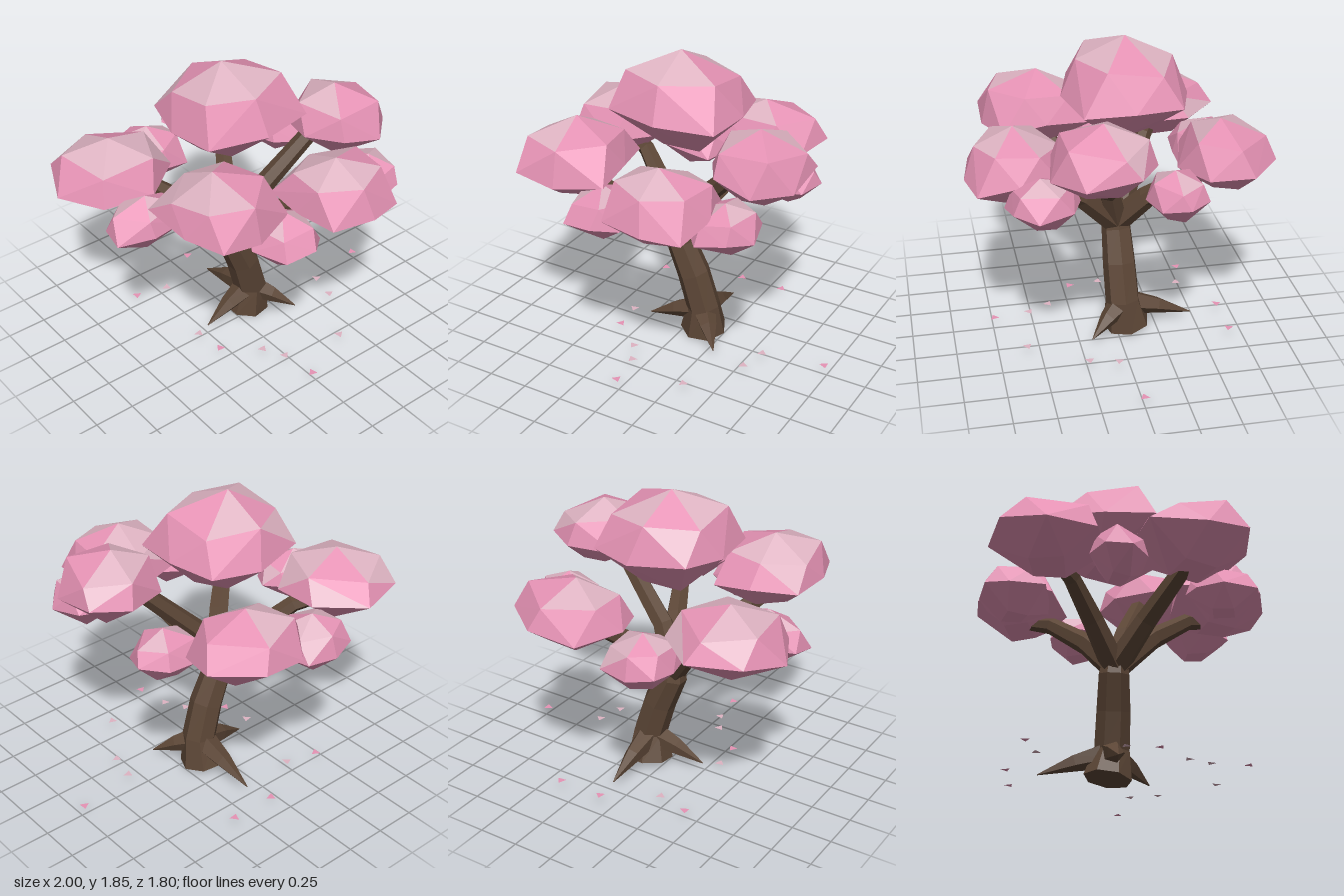
import * as THREE from 'three';
import { ConvexGeometry } from 'three/addons/geometries/ConvexGeometry.js';

const V = (a) => new THREE.Vector3(...a);

// small seeded random generator, -1..1
const seeded = (s) => () => {
  s = (s * 16807) % 2147483647;
  return (s / 2147483647) * 2 - 1;
};

// Faceted limb: rings of given radii square to a path, closed at both ends
function limb(points, radii, sides) {
  const pts = points.map(V), n = pts.length, rings = [];
  let side = null;
  for (let i = 0; i < n; i++) {
    const t = pts[Math.min(i + 1, n - 1)].clone().sub(pts[Math.max(i - 1, 0)]).normalize();
    if (!side) side = Math.abs(t.x) < 0.7 ? V([1, 0, 0]) : V([0, 0, 1]);
    side = side.clone().addScaledVector(t, -side.dot(t)).normalize();
    const up = t.clone().cross(side);
    rings.push([...Array(sides).keys()].map((k) => {
      const a = (k / sides) * Math.PI * 2;
      return pts[i].clone().addScaledVector(side, Math.cos(a) * radii[i]).addScaledVector(up, Math.sin(a) * radii[i]);
    }));
  }
  const tri = [];
  for (let k = 0; k < sides; k++) {
    const m = (k + 1) % sides;
    for (let i = 0; i < n - 1; i++) {
      const a = rings[i][k], b = rings[i][m], c = rings[i + 1][m], d = rings[i + 1][k];
      tri.push(a, b, c, a, c, d);
    }
    tri.push(pts[0], rings[0][m], rings[0][k], pts[n - 1], rings[n - 1][k], rings[n - 1][m]);
  }
  const g = new THREE.BufferGeometry().setFromPoints(tri);
  g.computeVertexNormals();
  return g;
}

// Leaf clump: hull of an apex, a shoulder ring, a wide low rim and a shallow underside.
// Eight-cornered clumps are boxy. Upper facets are mostly pale (group 1).
function clump(min, max, corners, phase, seed) {
  const rnd = seeded(seed * 7919 + 13);
  const pts = [new THREE.Vector3(rnd() * 0.1, 1, rnd() * 0.1)];
  const ring = (n, r, y, shift, wobble) => {
    for (let k = 0; k < n; k++) {
      const a = ((k + shift) / n) * Math.PI * 2, t = a + THREE.MathUtils.degToRad(phase) + rnd() * 0.1;
      const boxy = corners === 8 ? Math.max(Math.abs(Math.cos(a)), Math.abs(Math.sin(a))) ** -0.5 : 1;
      const d = r * boxy * (1 + rnd() * 0.05);
      pts.push(new THREE.Vector3(Math.cos(t) * d, y + rnd() * wobble, Math.sin(t) * d));
    }
  };
  ring(corners - 2, 0.81, 0.76, 0.5, 0.06);
  ring(corners, 1, 0.39, 0, 0.08);
  ring(4, 0.4, 0.04, 0.3, 0.04);

  // fit to the wanted bounds
  const box = new THREE.Box3().setFromPoints(pts), size = box.getSize(new THREE.Vector3());
  for (const q of pts) {
    q.sub(box.min).divide(size).multiply(V(max).sub(V(min))).add(V(min));
  }
  const p = new ConvexGeometry(pts).attributes.position;
  const faces = [[], []];
  for (let i = 0; i < p.count; i += 3) {
    const [a, b, c] = [0, 1, 2].map((k) => new THREE.Vector3().fromBufferAttribute(p, i + k));
    const n = b.clone().sub(a).cross(c.clone().sub(a)).normalize();
    faces[n.y > 0.6 && rnd() < 0.5 ? 1 : 0].push(a, b, c);
  }
  const g = new THREE.BufferGeometry().setFromPoints(faces.flat());
  g.addGroup(0, faces[0].length, 0);
  g.addGroup(faces[0].length, faces[1].length, 1);
  g.computeVertexNormals();
  return g;
}

export function createModel() {
  const mat = (name, color) => Object.assign(new THREE.MeshStandardMaterial({ color }), { name });
  const bark = mat('bark brown', 0x5c4636);
  const pink = mat('blossom pink', 0xe693b5);
  const pale = mat('pale blossom', 0xdfb4c3);
  pink.side = pale.side = THREE.DoubleSide;

  const model = new THREE.Group();
  model.name = 'blossomTree';
  const add = (name, geo, material, parent = model) => {
    const m = new THREE.Mesh(geo, material);
    m.name = name;
    parent.add(m);
    return m;
  };
  const group = (name) => {
    const g = new THREE.Group();
    g.name = name;
    model.add(g);
    return g;
  };

  // Leaning trunk
  add('trunk', limb(
    [[0.115, 0.022, -0.07], [0.125, 0.2, -0.045], [0.06, 0.42, -0.037], [-0.03, 0.62, -0.035], [-0.04, 0.8, -0.02]],
    [0.145, 0.107, 0.103, 0.092, 0.06], 7), bark);

  // Branches rising from the fork
  const branches = group('branches');
  [
    [[-0.2, 0.89, 0.15], [-0.45, 1.14, 0.38]],
    [[0.09, 0.91, 0.2], [0.19, 1.07, 0.42], [0.25, 1.09, 0.62]],
    [[0.08, 0.92, 0.03], [0.45, 1.3, 0.13]],
    [[0.07, 0.86, -0.2], [0.2, 1.04, -0.42], [0.25, 1.08, -0.6]],
    [[-0.22, 0.88, -0.16], [-0.42, 1.05, -0.28], [-0.62, 1.1, -0.4]],
  ].forEach((path) => {
    const pts = [[-0.035, 0.66, -0.03], ...path];
    add('branch', limb(pts, [0.08, 0.066, 0.052, 0.035].slice(0, pts.length), 6), bark, branches);
  });

  // Pointed roots
  const roots = group('roots');
  [[0.32, 0.05, 0.18], [0.11, 0.045, -0.48], [-0.24, 0.05, -0.01]].forEach((tip) => {
    const start = [0.12, 0.18, -0.05];
    const mid = start.map((s, i) => s + (tip[i] - s) * 0.5 + (i === 1 ? 0.01 : 0));
    add('root', limb([start, mid, tip], [0.085, 0.053, 0.003], 5), bark, roots);
  });

  // Blossom clumps: min, max, rim corners, turn in degrees
  const canopy = group('canopy');
  [
    [[-0.41, 1.27, -0.45], [0.36, 1.85, 0.3], 8, 0],
    [[-0.76, 1.07, 0.07], [-0.15, 1.52, 0.73], 8, -10],
    [[-0.07, 1.02, 0.32], [0.53, 1.45, 0.9], 8, 0],
    [[0.32, 1.18, -0.13], [0.87, 1.59, 0.47], 7, 20],
    [[-0.1, 1.02, -0.9], [0.62, 1.42, -0.33], 7, 31],
    [[-1.0, 1.0, -0.76], [-0.31, 1.41, -0.08], 7, 22],
    [[-0.43, 0.89, -0.83], [-0.01, 1.22, -0.42], 8, 0],
    [[0.34, 0.97, -0.44], [0.77, 1.26, -0.09], 7, 40],
    [[-0.91, 0.92, -0.18], [-0.42, 1.23, 0.15], 7, 0],
    [[-0.38, 0.95, 0.39], [0.01, 1.25, 0.83], 7, 25],
    [[0.36, 0.98, 0.28], [0.76, 1.28, 0.7], 7, 10],
  ].forEach(([min, max, corners, phase], i) =>
    add('blossomClump', clump(min, max, corners, phase, i + 1), [pink, pale], canopy));

  // Fallen petals: pink ones first, then pale
  const petals = group('fallenPetals');
  const petal = new THREE.CircleGeometry(0.032, 3).rotateX(-Math.PI / 2);
  [
    [-0.43, -0.52], [0.08, -0.66], [0.37, -0.66], [-0.32, 0.22], [-0.02, 0.74], [0.98, 0],
    [-0.23, -0.47], [-0.34, 0.03], [-0.12, 0.39], [-0.05, 0.52], [0.34, 0.58], [0.56, 0.24], [0.6, 0.07],
  ].forEach(([x, z], i) => {
    const m = add('petal', petal, i < 6 ? pink : pale, petals);
    m.position.set(x, 0.065, z);
    m.rotation.y = i * 1.9;
  });
  return model;
}
